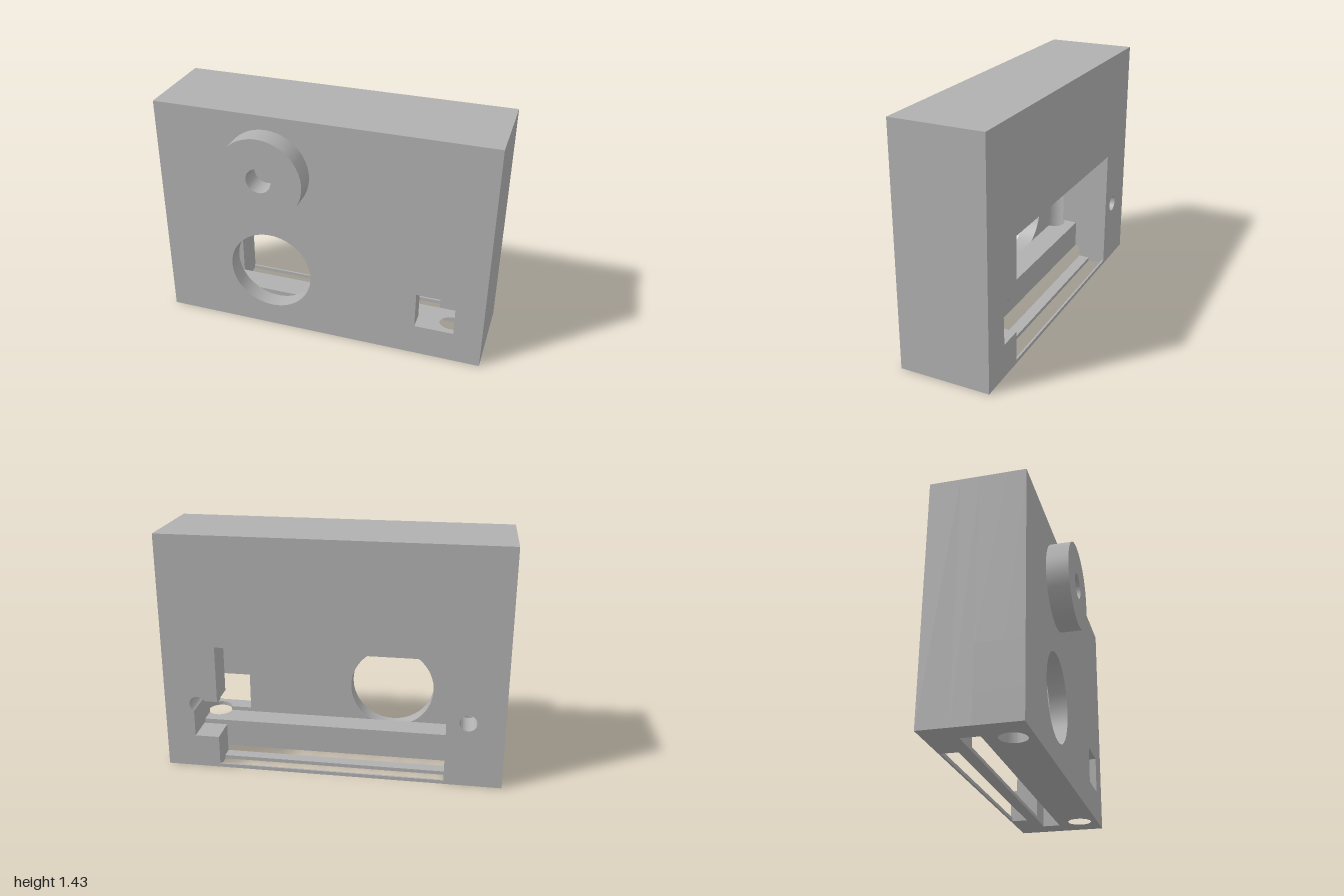
import * as THREE from 'three';
import { toCreasedNormals } from 'three/addons/utils/BufferGeometryUtils.js';

// Main depth planes, back to front
const BACK = -0.335, SLOT_BACK = -0.159, SLOT_FRONT = -0.051, INNER = 0.102, FRONT = 0.207, KNOB = 0.335;
const TOP = 1.43, ROOF = 1.3, LEDGE = 0.175, SIDE = 0.855;
const EYE = { x: -0.315, y: 0.4, r: 0.257 };
const POST = { x: 0.797, z: 0.095, r: 0.074, top: 0.43 };

const rad = THREE.MathUtils.degToRad;

// Points along an arc, angles in degrees
function arc(cx, cy, r, from, to, n = 24) {
  return Array.from({ length: n + 1 }, (_, i) => {
    const a = rad(from + (to - from) * i / n);
    return [cx + r * Math.cos(a), cy + r * Math.sin(a)];
  });
}

const vectors = (pts) => pts.map(([x, y]) => new THREE.Vector2(x, y));

function makeShape(pts, holes = []) {
  const shape = new THREE.Shape(vectors(pts));
  for (const h of holes) shape.holes.push(new THREE.Path(vectors(h)));
  return shape;
}

const circle = (x, y, r) => arc(x, y, r, 0, 360, 64).slice(0, -1);

export function createModel() {
  const model = new THREE.Group();
  model.name = 'sensorHousing';
  const grey = new THREE.MeshStandardMaterial({ color: 0xb0b0b0 });
  grey.name = 'plain grey';

  function add(name, geometry) {
    const mesh = new THREE.Mesh(geometry, grey);
    mesh.name = name;
    model.add(mesh);
  }

  // Layer cut in x and y, running from z0 to z1
  function layer(name, pts, holes, z0, z1) {
    const g = new THREE.ExtrudeGeometry(makeShape(pts, holes), { depth: z1 - z0, bevelEnabled: false });
    g.translate(0, 0, z0);
    add(name, toCreasedNormals(g, 0.5));
  }

  // Column cut in x and z, running from y0 to y1; side mirrors it in x
  function column(name, pts, holes, y0, y1, side) {
    const flip = (list) => list.map(([x, z]) => [x * side, -z]);
    const g = new THREE.ExtrudeGeometry(makeShape(flip(pts), holes.map(flip)), { depth: y1 - y0, bevelEnabled: false });
    g.rotateX(-Math.PI / 2);
    g.translate(0, y0, 0);
    add(name, toCreasedNormals(g, 0.5));
  }

  function box(name, x0, x1, y0, y1, z0, z1) {
    const g = new THREE.BoxGeometry(x1 - x0, y1 - y0, z1 - z0);
    g.translate((x0 + x1) / 2, (y0 + y1) / 2, (z0 + z1) / 2);
    add(name, g);
  }

  // Arch-shaped frame, open at the bottom
  const arch = (bottom) => [
    [-1, bottom], [-SIDE, bottom], [-SIDE, ROOF], [SIDE, ROOF],
    [SIDE, bottom], [1, bottom], [1, TOP], [-1, TOP],
  ];

  // Front plate with the round opening and the square window
  layer('frontPlate', [
    [-0.7, 0], [0.7, 0], [0.7, 0.2], [0.595, 0.2], [0.595, 0.43], [1, 0.43],
    [1, TOP], [-1, TOP], [-1, 0.43], [-0.7, 0.43],
  ], [circle(EYE.x, EYE.y, EYE.r)], INNER, FRONT);

  // Raised round collar with its bore
  layer('collar', circle(-0.315, 1.09, 0.257), [circle(-0.315, 1.09, 0.075)], FRONT, KNOB);

  // Inner chamber frame and the board slot behind it
  layer('chamberFrame', arch(POST.top), [], SLOT_FRONT, INNER);
  layer('slotFrame', arch(0), [], SLOT_BACK, SLOT_FRONT);

  // Back plate: wide opening, side notch and two screw holes
  layer('backPlate', [
    [-1, 0], [-0.665, 0], [-0.665, 0.774], [0.68, 0.774], [0.68, 0.43],
    ...arc(0.8, 0.405, 0.05, 150, -60),
    [0.825, 0.2], [0.68, 0.2], [0.68, 0], [1, 0], [1, TOP], [-1, TOP],
  ], [circle(-0.79, 0.4, 0.05)], BACK, SLOT_BACK);

  // Ledge inside, and the thin bars across the bottom
  box('innerLedge', -0.7, 0.7, 0, LEDGE, SLOT_FRONT, INNER);
  box('bottomBar', -0.665, 0.68, 0, 0.022, -0.228, SLOT_BACK);
  box('backLip', -0.665, 0.68, 0, 0.022, BACK, BACK + 0.012);

  // Lower corners with upright holes that groove the chamber wall
  const foot = [[0.7, SLOT_FRONT], [1, SLOT_FRONT], [1, FRONT], [0.7, FRONT]];
  const grooved = (start, edge) => [
    [1, SLOT_FRONT], [1, FRONT], ...edge,
    ...arc(POST.x, POST.z, POST.r, start, -38), [SIDE, SLOT_FRONT],
  ];
  const wide = grooved(174.6, [[0.7, FRONT], [0.7, INNER]]);
  const narrow = grooved(63.5, [[0.83, FRONT]]);
  for (const side of [1, -1]) {
    const tag = side > 0 ? 'left' : 'right';
    column(tag + 'Foot', foot, [circle(POST.x, POST.z, POST.r)], 0, LEDGE, side);
    column(tag + 'GroovedCorner', wide, [], LEDGE, side > 0 ? 0.2 : POST.top, side);
  }
  column('windowSideCorner', narrow, [], 0.2, POST.top, 1);

  return model;
}
